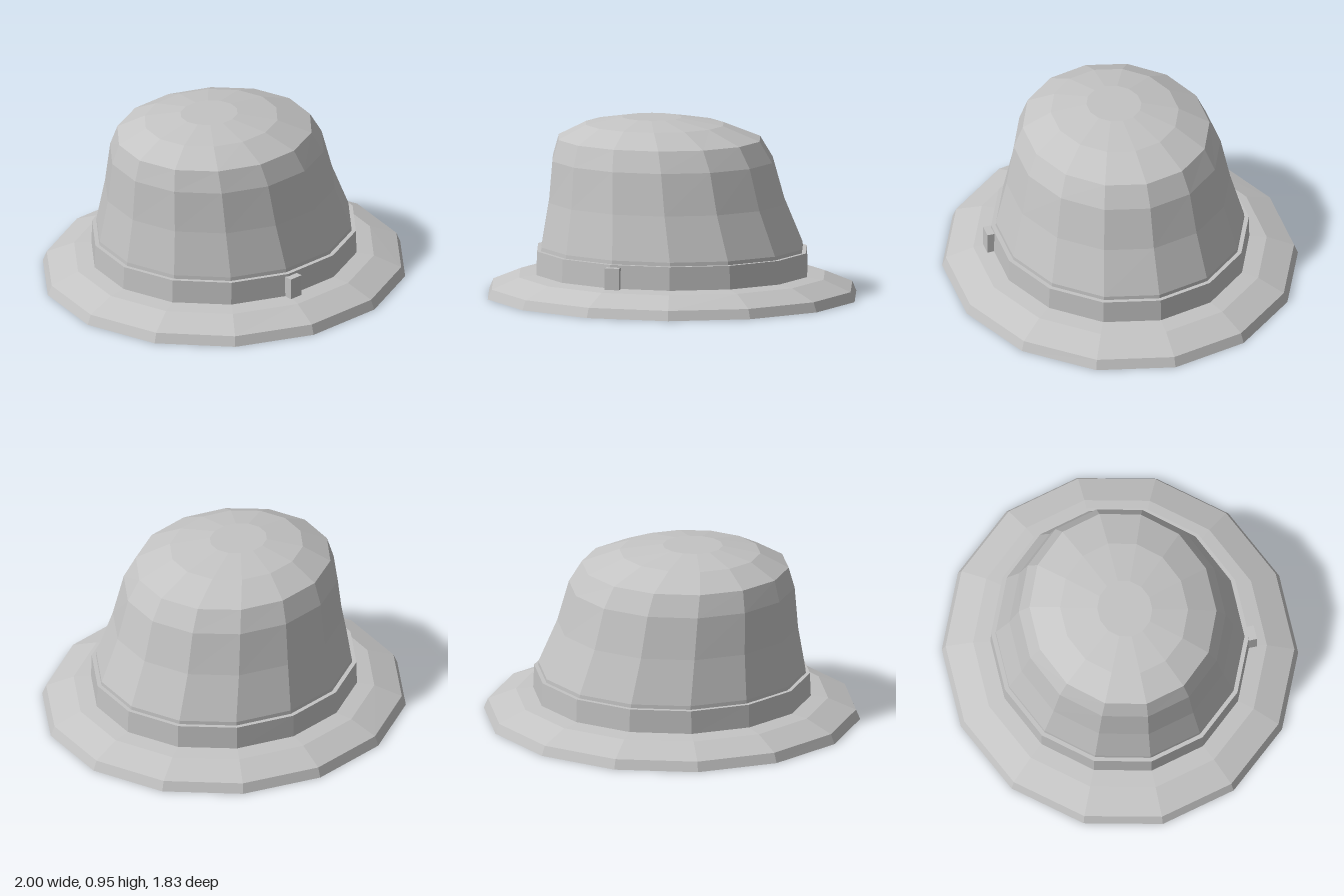
import * as THREE from 'three';

const SIDES = 14;

// Skins a stack of elliptical rings [y, centreX, radiusX, radiusZ], listed bottom to top.
function loft(rings) {
  const positions = [];
  const index = [];
  for (const [y, cx, rx, rz] of rings) {
    for (let i = 0; i < SIDES; i++) {
      const a = (i / SIDES) * Math.PI * 2;
      positions.push(cx + rx * Math.cos(a), y, -rz * Math.sin(a));
    }
  }
  for (let r = 0; r < rings.length - 1; r++) {
    for (let i = 0; i < SIDES; i++) {
      const j = (i + 1) % SIDES;
      const a = r * SIDES + i, b = r * SIDES + j;
      const c = b + SIDES, d = a + SIDES;
      if (rings[r][2] > 0) index.push(a, b, c);
      if (rings[r + 1][2] > 0) index.push(a, c, d);
      else if (rings[r][2] === 0) index.push(a, c, d);
    }
  }
  const geometry = new THREE.BufferGeometry();
  geometry.setAttribute('position', new THREE.Float32BufferAttribute(positions, 3));
  geometry.setIndex(index);
  const flat = geometry.toNonIndexed();
  flat.computeVertexNormals();
  return flat;
}

export function createModel() {
  const group = new THREE.Group();
  const felt = new THREE.MeshStandardMaterial({ color: 0xc4c4c4, flatShading: true });
  felt.name = 'grey felt';

  const add = (name, geometry) => {
    const mesh = new THREE.Mesh(geometry, felt);
    mesh.name = name;
    group.add(mesh);
    return mesh;
  };

  // Wide sloping brim with a closed flat underside
  add('brim', loft([
    [0, 0, 0, 0],
    [0, 0, 1, 0.94],
    [0.052, 0, 0.978, 0.92],
    [0.113, 0, 0.83, 0.775],
    [0.13, 0, 0.68, 0.635],
  ]));

  // Crown leaning toward -x as it rises
  add('crown', loft([
    [0.11, 0, 0.72, 0.665],
    [0.27, 0, 0.71, 0.655],
    [0.506, -0.03, 0.64, 0.59],
    [0.726, -0.052, 0.6, 0.545],
    [0.838, -0.07, 0.55, 0.492],
    [0.914, -0.095, 0.375, 0.337],
    [0.949, -0.11, 0.16, 0.145],
    [0.949, -0.11, 0, 0],
  ]));

  // Band around the base of the crown, with a thin top lip
  add('band', loft([
    [0.115, 0, 0.738, 0.683],
    [0.25, 0, 0.733, 0.68],
    [0.25, 0, 0.70, 0.65],
  ]));

  // Small clasp on the front of the band
  const clasp = add('clasp', new THREE.BoxGeometry(0.078, 0.115, 0.06));
  clasp.position.set(-0.143, 0.179, 0.672);

  return group;
}
